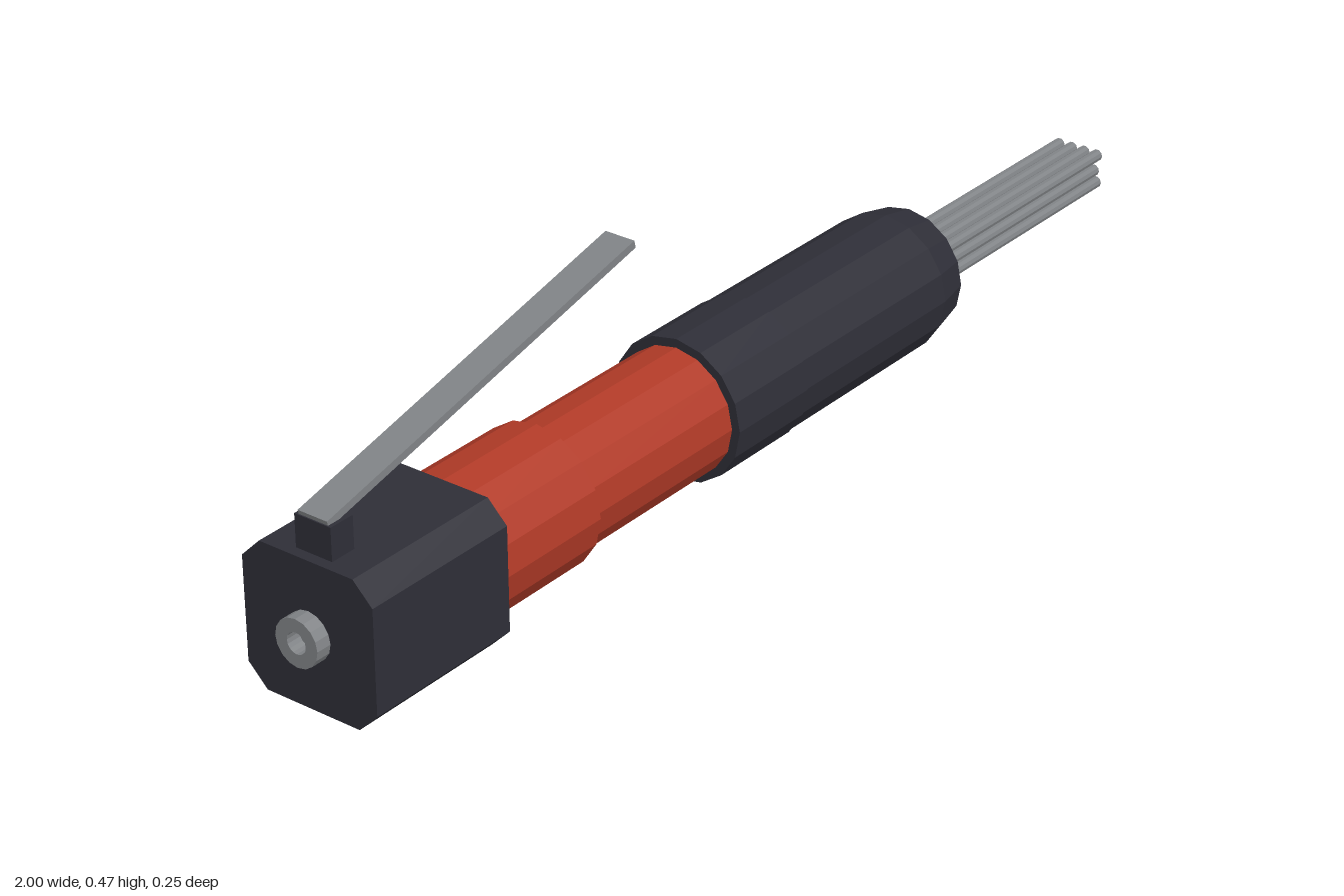
import * as THREE from 'three';

const AXIS_Y = 0.125;

export function createModel() {
  const mat = (name, color) => {
    const m = new THREE.MeshStandardMaterial({ color, flatShading: true });
    m.name = name;
    return m;
  };
  const dark = mat('charcoal', 0x2e2e37);
  const red = mat('red', 0xb03a27);
  const steel = mat('steel', 0x808386);

  const model = new THREE.Group();
  model.name = 'needleScaler';
  const add = (name, geometry, material, x = 0, y = 0, z = 0) => {
    const mesh = new THREE.Mesh(geometry, material);
    mesh.name = name;
    mesh.position.set(x, y, z);
    model.add(mesh);
    return mesh;
  };
  // Turned part along x; profile is [radius, x] pairs from back to front
  const turned = (name, profile, material, sides = 16) => {
    const points = profile.map(([r, x]) => new THREE.Vector2(r, x));
    const geometry = new THREE.LatheGeometry(points, sides).rotateZ(-Math.PI / 2);
    return add(name, geometry, material, 0, AXIS_Y, 0);
  };

  // Chamfered rear block
  const h = 0.123, c = 0.088;
  const outline = new THREE.Shape([
    [h, -c], [h, c], [c, h], [-c, h], [-h, c], [-h, -c], [-c, -h], [c, -h],
  ].map(([a, b]) => new THREE.Vector2(a, b)));
  const block = new THREE.ExtrudeGeometry(outline, { depth: 0.288, bevelEnabled: false });
  add('rearBlock', block.rotateY(Math.PI / 2), dark, -0.973, AXIS_Y, 0);

  // Air inlet with a bore
  turned('airInlet', [
    [0.04, -0.97], [0.04, -0.97], [0.04, -1], [0.018, -1], [0.018, -0.974], [0, -0.974],
  ].reverse(), steel);

  // Red barrel in two steps
  turned('rearBarrel', [[0, -0.69], [0.12, -0.69], [0.12, -0.47], [0, -0.47]], red);
  turned('frontBarrel', [[0, -0.48], [0.108, -0.48], [0.108, -0.13], [0, -0.13]], red);

  // Dark sleeve: collar, then a tapered nose with a recess
  turned('sleeveCollar', [[0, -0.135], [0.123, -0.135], [0.123, 0.04], [0, 0.04]], dark);
  turned('noseSleeve', [
    [0, 0.03], [0.121, 0.03], [0.121, 0.42], [0.107, 0.486],
    [0.062, 0.486], [0.062, 0.45], [0, 0.45],
  ], dark);

  // Bundle of needles, 4 by 3
  const needle = new THREE.CylinderGeometry(0.0105, 0.0105, 1, 10).rotateZ(-Math.PI / 2);
  for (let row = 0; row < 3; row++) {
    for (let col = 0; col < 4; col++) {
      const end = row === 1 ? 0.992 : 1;
      const length = end - 0.44;
      const mesh = add('needle', needle, steel,
        end - length / 2, 0.1 + row * 0.0255, (col - 1.5) * 0.0257);
      mesh.scale.x = length;
    }
  }

  // Lever and its mount
  add('leverMount', new THREE.BoxGeometry(0.046, 0.062, 0.068), dark, -0.932, 0.272, 0);
  const dx = 0.686, dy = 0.166;
  const lever = add('lever', new THREE.BoxGeometry(Math.hypot(dx, dy), 0.013, 0.055), steel,
    -0.61, 0.387, 0);
  lever.rotation.z = Math.atan2(dy, dx);

  return model;
}
